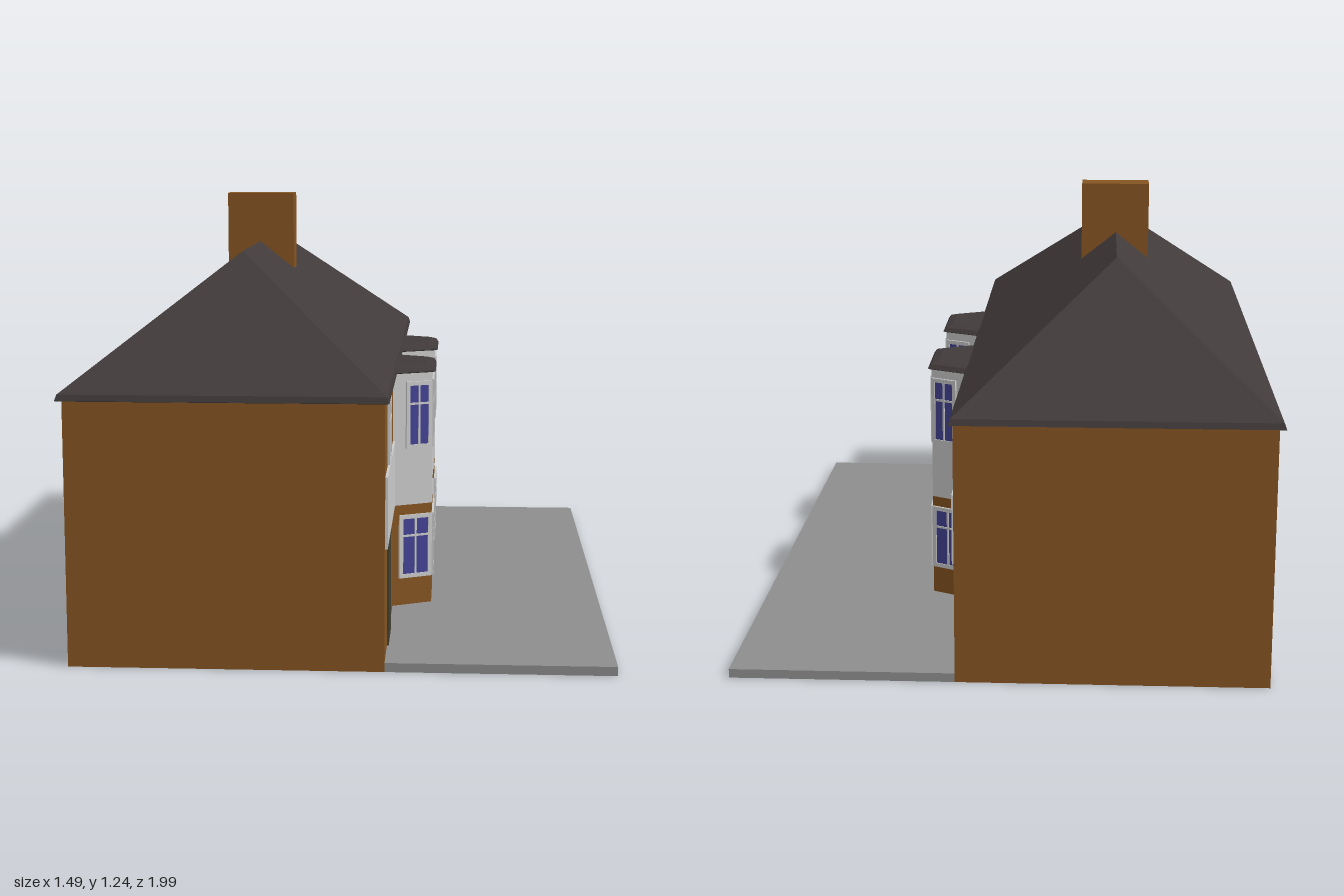
import * as THREE from 'three';

const mat = (color, extra = {}) => new THREE.MeshStandardMaterial({ color, flatShading: true, ...extra });
const brick = mat(0x855522);
const tile = mat(0x413a3a);
const render = mat(0xcccccc);
const paving = mat(0x8e8e8e);
const glass = mat(0x434394);
const doorPaint = mat(0x424030);

function add(parent, name, geometry, material) {
  const mesh = new THREE.Mesh(geometry, material);
  mesh.name = name;
  parent.add(mesh);
  return mesh;
}

// Box given by its limits on each axis
function block(parent, name, material, [x0, x1], [y0, y1], [z0, z1]) {
  const g = new THREE.BoxGeometry(x1 - x0, y1 - y0, z1 - z0);
  g.translate((x0 + x1) / 2, (y0 + y1) / 2, (z0 + z1) / 2);
  return add(parent, name, g, material);
}

// Upright prism from a plan outline of [x, z] points
function prism(parent, name, material, plan, y0, y1) {
  const shape = new THREE.Shape(plan.map(([x, z]) => new THREE.Vector2(x, -z)));
  const g = new THREE.ExtrudeGeometry(shape, { depth: y1 - y0, bevelEnabled: false });
  g.rotateX(-Math.PI / 2).translate(0, y0, 0);
  return add(parent, name, g, material);
}

// Skin joining stacked four-cornered loops, closed at both ends
function loft(loops) {
  const pos = [];
  const quad = (a, b, c, d) => pos.push(...a, ...b, ...c, ...a, ...c, ...d);
  for (let i = 0; i < loops.length - 1; i++) {
    const lo = loops[i], hi = loops[i + 1];
    for (let k = 0; k < 4; k++) {
      const n = (k + 1) % 4;
      quad(lo[k], lo[n], hi[n], hi[k]);
    }
  }
  const [a, b, c, d] = loops[0];
  quad(d, c, b, a);
  quad(...loops[loops.length - 1]);
  const g = new THREE.BufferGeometry();
  g.setAttribute('position', new THREE.Float32BufferAttribute(pos, 3));
  g.computeVertexNormals();
  return g;
}

// Framed window facing local +z, with equal columns and one transom
function makeWindow(name, w, h, columns) {
  const group = new THREE.Group();
  group.name = name;
  const rim = 0.012, bar = 0.006, transom = h * 0.17;
  const rect = (Type, x0, y0, x1, y1) => new Type([[x0, y0], [x1, y0], [x1, y1], [x0, y1]]
    .map(p => new THREE.Vector2(...p)));
  const frame = rect(THREE.Shape, -w / 2, -h / 2, w / 2, h / 2);
  const pane = (w - 2 * rim - (columns - 1) * bar) / columns;
  for (let i = 0; i < columns; i++) {
    const x = -w / 2 + rim + i * (pane + bar);
    frame.holes.push(rect(THREE.Path, x, -h / 2 + rim, x + pane, transom - bar / 2));
    frame.holes.push(rect(THREE.Path, x, transom + bar / 2, x + pane, h / 2 - rim));
  }
  add(group, 'windowFrame', new THREE.ExtrudeGeometry(frame, { depth: 0.007, bevelEnabled: false }), render);
  const sheet = new THREE.BoxGeometry(w - rim, h - rim, 0.004);
  add(group, 'windowGlass', sheet.translate(0, 0, 0.002), glass);
  return group;
}

export function createModel() {
  const house = new THREE.Group();
  house.name = 'semiDetachedHouse';

  block(house, 'walls', brick, [-0.73, 0.125], [0, 0.73], [-0.98, 0.98]);
  block(house, 'forecourt', paving, [0.125, 0.745], [0, 0.025], [-0.98, 0.98]);
  block(house, 'chimney', brick, [-0.405, -0.2], [0.98, 1.24], [-0.045, 0.045]);

  // Hipped roof with a shallow eave lip
  const ring = (hx, hz, y) => [[-1, 1], [1, 1], [1, -1], [-1, -1]]
    .map(([sx, sz]) => [-0.305 + sx * hx, y, sz * hz]);
  add(house, 'mainRoof', loft([
    ring(0.43, 0.98, 0.724), ring(0.442, 0.993, 0.727),
    ring(0.436, 0.988, 0.744), ring(0, 0.495, 1.09),
  ]), tile);

  // Pale rendered panel between the bays
  block(house, 'centrePanel', render, [0.12, 0.132], [0.33, 0.728], [-0.12, 0.12]);

  for (const s of [1, -1]) {
    const half = new THREE.Group();
    half.name = s > 0 ? 'houseHalfFront' : 'houseHalfBack';
    house.add(half);
    const span = (a, b) => (s > 0 ? [a, b] : [-b, -a]);
    const plan = points => points.map(([x, z]) => [x, z * s]);

    block(half, 'renderBand', render, [0.12, 0.132], [0.33, 0.525], span(0.38, 0.955));
    block(half, 'door', doorPaint, [0.12, 0.13], [0.025, 0.33], span(0.655, 0.82));

    // Canted bay: brick below, render above
    const bay = plan([[0.12, 0.42], [0.24, 0.36], [0.24, 0.155], [0.12, 0.095]]);
    prism(half, 'bayLower', brick, bay, 0.02, 0.33);
    prism(half, 'bayUpper', render, bay, 0.33, 0.73);

    // Bay roof, nearly flat and tapering at its edge
    const bayLoop = (x, z0, z1, flare, y) => {
      const loop = [[0.1, z1 + flare], [x, z1], [x, z0], [0.1, z0 - flare]].map(([px, pz]) => [px, y, pz * s]);
      return s > 0 ? loop : loop.reverse();
    };
    add(half, 'bayRoof', loft([
      bayLoop(0.243, 0.153, 0.362, 0.07, 0.725), bayLoop(0.25, 0.15, 0.365, 0.075, 0.728),
      bayLoop(0.242, 0.156, 0.359, 0.07, 0.74), bayLoop(0.22, 0.17, 0.345, 0.06, 0.746),
    ]), tile);

    const place = (name, w, y0, y1, columns, x, z, nx, nz) => {
      const win = makeWindow(name, w, y1 - y0, columns);
      win.position.set(x, (y0 + y1) / 2, z * s);
      win.rotation.y = Math.atan2(nx, nz * s);
      half.add(win);
    };
    place('bedroomWindow', 0.137, 0.53, 0.705, 2, 0.125, 0.739, 1, 0);
    place('bayWindowLower', 0.207, 0.108, 0.3, 3, 0.239, 0.2575, 1, 0);
    place('bayWindowUpper', 0.195, 0.5, 0.703, 3, 0.237, 0.2575, 1, 0);
    // Windows on both slanted cheeks of the bay
    for (const d of [1, -1]) {
      const cheekZ = x => 0.2575 + d * (0.1025 + (0.24 - x) * 0.5);
      place('cheekWindowLower', 0.106, 0.108, 0.3, 2, 0.1905, cheekZ(0.1905), 1, 2 * d);
      place('cheekWindowUpper', 0.084, 0.5, 0.7, 2, 0.2, cheekZ(0.2), 1, 2 * d);
    }
  }
  return house;
}
